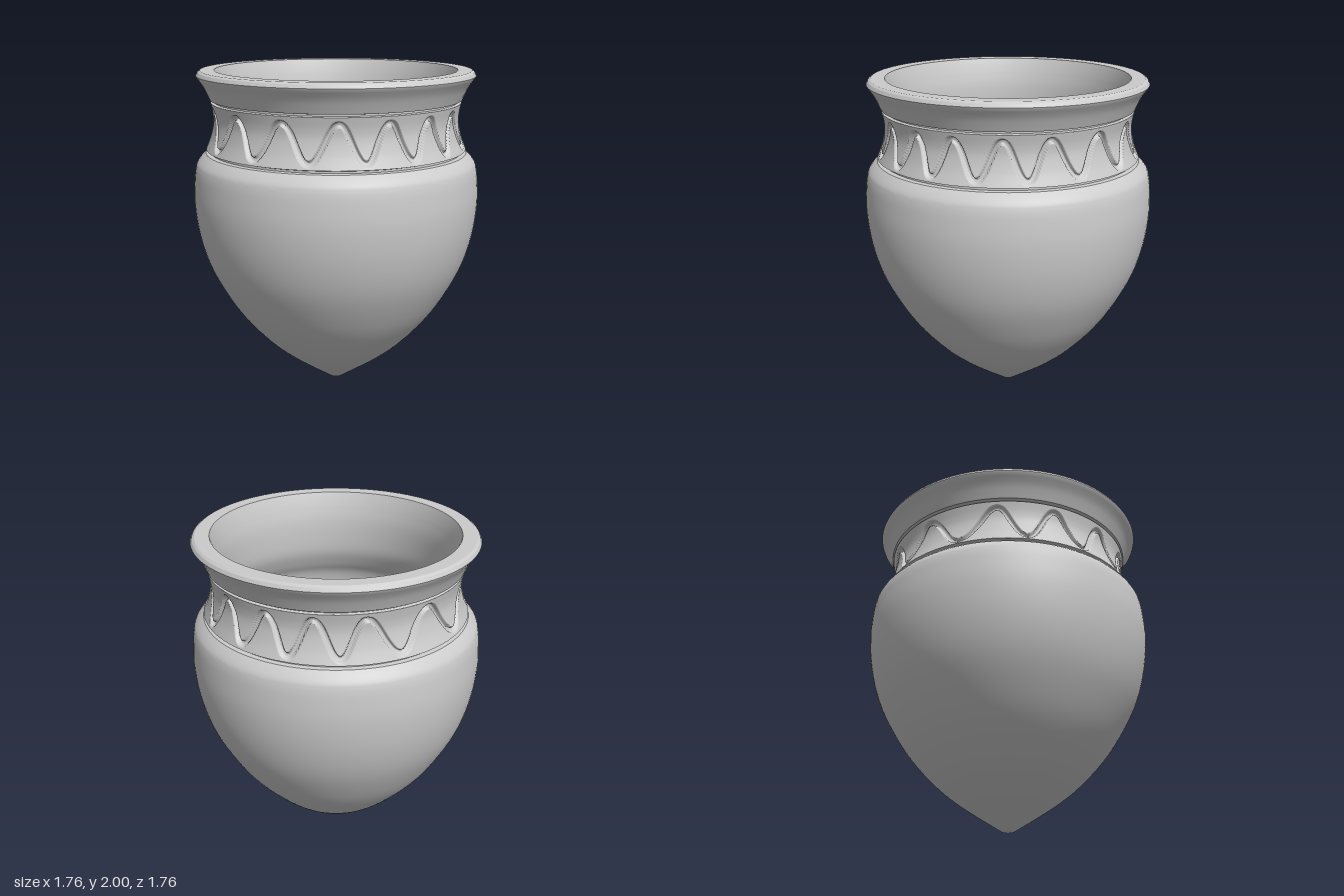
import * as THREE from 'three';
import { mergeVertices, toCreasedNormals } from 'three/addons/utils/BufferGeometryUtils.js';

const SEGMENTS = 112;
const material = new THREE.MeshStandardMaterial({ color: 0xcccccc, side: THREE.DoubleSide });

// Smooth list of profile points through a few [radius, height] pairs
function curve(pairs, n) {
  return new THREE.SplineCurve(pairs.map(([r, y]) => new THREE.Vector2(r, y))).getPoints(n);
}
const line = (pairs) => pairs.map(([r, y]) => new THREE.Vector2(r, y));

function turned(name, points) {
  const geometry = toCreasedNormals(new THREE.LatheGeometry(points, SEGMENTS), 0.45);
  const mesh = new THREE.Mesh(geometry, material);
  mesh.name = name;
  return mesh;
}

// Angles, in degrees, of the hand-cut wave crests around the neck
const CRESTS = [-64, -37, -11, 14, 39, 61, 82, 101, 122.5, 143, 167, 190, 211, 233, 262, 296];

// Height and slope (per degree) of the wave at an angle
function wave(degrees) {
  let a = degrees;
  while (a >= 296) a -= 360;
  while (a < -64) a += 360;
  let i = 0;
  while (i < CRESTS.length - 2 && a >= CRESTS[i + 1]) i++;
  const span = CRESTS[i + 1] - CRESTS[i];
  const t = ((a - CRESTS[i]) / span) * Math.PI * 2;
  return { y: 1.662 + 0.107 * Math.cos(t), slope: (-0.107 * Math.sin(t) * Math.PI * 2) / span };
}

// Concave neck with the wave cut into its surface
function neckBand() {
  const profile = curve([[0.797, 1.525], [0.768, 1.6], [0.75, 1.68], [0.75, 1.74], [0.762, 1.808]], 56);
  let geometry = new THREE.LatheGeometry(profile, 720);
  geometry.deleteAttribute('uv');
  geometry.deleteAttribute('normal');
  geometry = mergeVertices(geometry, 1e-5);
  const p = geometry.attributes.position;
  for (let i = 0; i < p.count; i++) {
    const x = p.getX(i), y = p.getY(i), z = p.getZ(i);
    const r = Math.hypot(x, z);
    const w = wave(THREE.MathUtils.radToDeg(Math.atan2(x, z)));
    const slope = w.slope / (THREE.MathUtils.DEG2RAD * r);
    const distance = Math.abs(y - w.y) / Math.hypot(1, slope);
    const cut = 0.022 * (1 - THREE.MathUtils.smoothstep(distance, 0.009, 0.017));
    p.setXYZ(i, (x * (r - cut)) / r, y, (z * (r - cut)) / r);
  }
  geometry.computeVertexNormals();
  const mesh = new THREE.Mesh(geometry, material);
  mesh.name = 'neckBand';
  return mesh;
}

export function createModel() {
  const vase = new THREE.Group();
  vase.name = 'vase';

  // Pointed belly, rounded shoulder and the lower groove
  vase.add(turned('belly', [
    ...line([[0, 0]]),
    ...curve([[0.04, 0], [0.19, 0.1], [0.33, 0.2], [0.45, 0.303], [0.585, 0.45], [0.69, 0.6],
      [0.795, 0.8], [0.855, 1.0], [0.879, 1.2], [0.872, 1.36], [0.86, 1.43]], 44),
    ...curve([[0.852, 1.447], [0.83, 1.475], [0.8, 1.503]], 4),
    ...line([[0.77, 1.506], [0.77, 1.518], [0.797, 1.525]]),
  ]));

  vase.add(neckBand());

  // Upper groove and flared rim
  vase.add(turned('rim', [
    ...line([[0.762, 1.808], [0.742, 1.812], [0.742, 1.822], [0.768, 1.826]]),
    ...curve([[0.77, 1.83], [0.785, 1.865], [0.807, 1.91], [0.843, 1.962]], 8),
    ...line([[0.846, 1.97], [0.835, 1.99], [0.82, 2.0], [0.735, 2.0]]),
  ]));

  // Hollow inside, from the lip down to the conical floor
  vase.add(turned('inside', [
    ...line([[0.735, 2.0], [0.726, 1.975]]),
    ...curve([[0.71, 1.92], [0.693, 1.83], [0.69, 1.72], [0.7, 1.6], [0.74, 1.5], [0.79, 1.4],
      [0.81, 1.2], [0.785, 1.0], [0.725, 0.8], [0.62, 0.6], [0.48, 0.42], [0.26, 0.22], [0, 0.08]], 52),
  ]));

  return vase;
}
